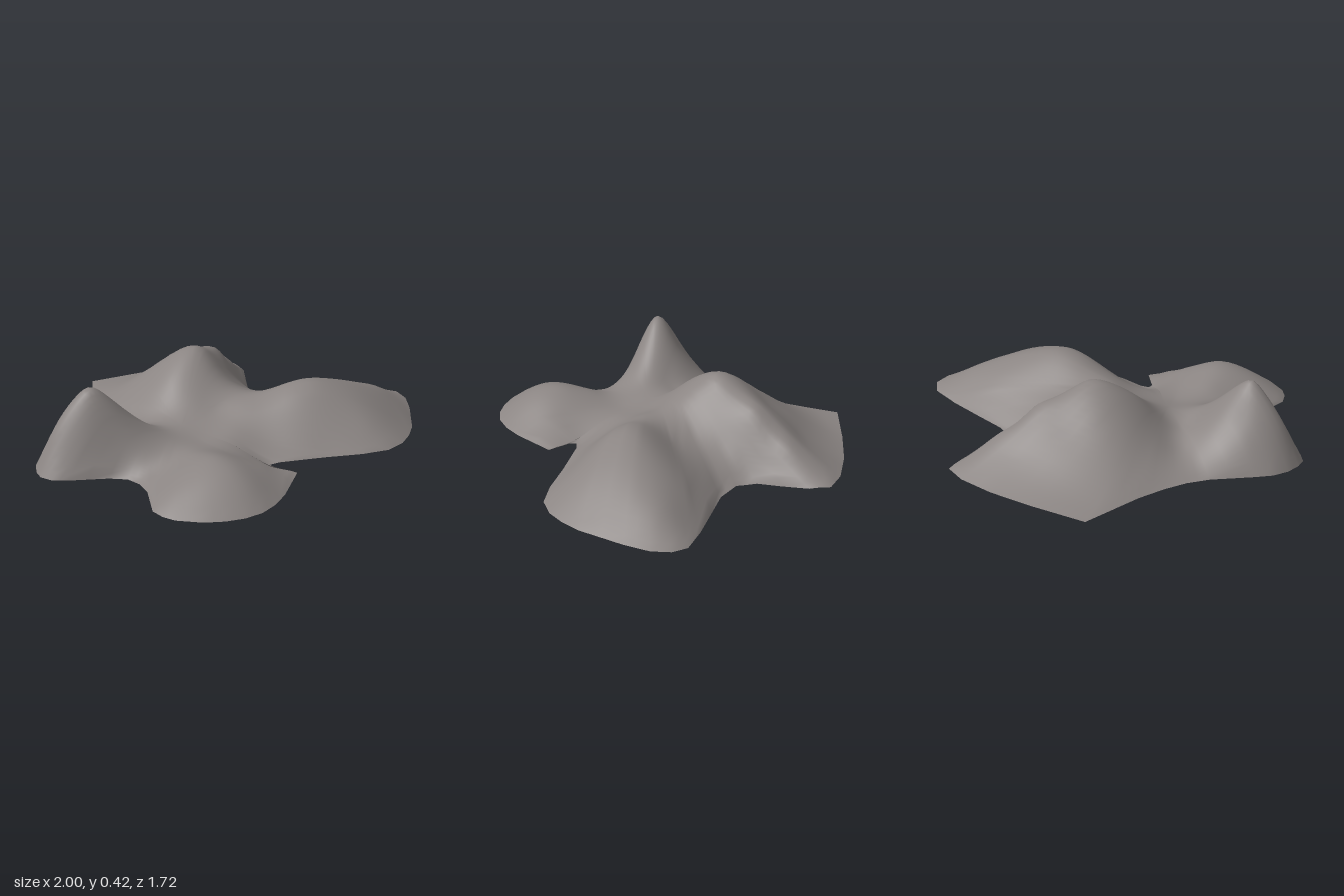
import * as THREE from 'three';

// Terrain border seen from above: x, z pairs
const BORDER = [
  -0.13, -0.86, 0.14, -0.79, 0.36, -0.72, 0.53, -0.64, 0.62, -0.56, 0.6, -0.46, 0.45, -0.25, 0.44, -0.15,
  0.53, -0.05, 0.84, 0.13, 0.97, 0.22, 1, 0.3, 0.97, 0.39, 0.89, 0.49, 0.72, 0.66, 0.63, 0.72,
  0.54, 0.76, 0.43, 0.77, 0.3, 0.72, 0.14, 0.63, -0.06, 0.53, -0.11, 0.52, -0.12, 0.55, -0.075, 0.665,
  -0.27, 0.79, -0.37, 0.835, -0.465, 0.855, -0.555, 0.845, -0.64, 0.81, -0.72, 0.755, -0.8, 0.66, -0.82, 0.6,
  -0.82, 0.53, -0.72, 0.365, -0.7, 0.285, -0.71, 0.21, -0.77, 0.145, -0.925, 0.04, -0.98, -0.01, -1, -0.07,
  -0.985, -0.125, -0.945, -0.19, -0.88, -0.245, -0.8, -0.28, -0.6, -0.355, -0.5, -0.415, -0.41, -0.495, -0.315, -0.6,
];

// Spot heights: x, z, y
const WEST_PEAK = [
  -0.73, -0.04, 0.42, -0.84, -0.08, 0.31, -0.9, -0.09, 0.22, -0.65, -0.02, 0.365, -0.53, 0.04, 0.24,
  -0.45, 0.08, 0.18, -0.68, 0.07, 0.28, -0.62, 0.15, 0.17, -0.7, -0.15, 0.27, -0.68, -0.25, 0.13,
];
const NORTH_RIDGE = [
  0.03, -0.16, 0.39, -0.1, -0.13, 0.35, -0.2, -0.1, 0.28, -0.3, -0.05, 0.18, 0.26, -0.29, 0.29,
  0.42, -0.4, 0.17, 0.54, -0.49, 0.08, 0.1, -0.4, 0.25, 0.1, -0.52, 0.17, 0.1, -0.63, 0.1,
  0.3, -0.52, 0.14, -0.05, -0.75, 0.05, -0.15, -0.45, 0.19, 0.12, -0.06, 0.26, 0.28, -0.15, 0.16,
];
const EAST_HILL = [
  0.31, 0.35, 0.295, 0.2, 0.31, 0.275, 0, 0.2, 0.21, -0.1, 0.13, 0.185, 0.6, 0.33, 0.21,
  0.8, 0.31, 0.13, 0.35, 0.5, 0.22, 0.4, 0.65, 0.12, 0.4, 0.2, 0.22, 0.58, 0.1, 0.11,
];
const SOUTH_MOUND = [
  -0.46, 0.53, 0.185, -0.46, 0.66, 0.165, -0.46, 0.76, 0.11, -0.6, 0.55, 0.155, -0.7, 0.55, 0.11,
  -0.3, 0.55, 0.13, -0.2, 0.58, 0.085, -0.46, 0.38, 0.15,
];
const VALLEYS = [
  -0.42, -0.05, 0.14, -0.44, -0.22, 0.1, 0.2, 0.05, 0.17, 0.35, -0.04, 0.085,
  -0.15, 0.3, 0.13, -0.1, 0.42, 0.075, -0.3, 0.25, 0.12, -0.5, 0.27, 0.12, -0.62, 0.3, 0.07,
];

// The border is level except for a dip on the east side
function borderHeight(x, z) {
  if (x < 0.42 || z < -0.5 || z > 0.3) return 0.035;
  const t = z < -0.15 ? (z + 0.15) / 0.35 : (z + 0.15) / 0.45;
  return 0.035 * Math.min(1, t * t * (1.6 - 0.6 * Math.abs(t)));
}

// Gaussian elimination with row pivoting
function solve(m) {
  const n = m.length;
  for (let c = 0; c < n; c++) {
    let p = c;
    for (let r = c + 1; r < n; r++) if (Math.abs(m[r][c]) > Math.abs(m[p][c])) p = r;
    [m[c], m[p]] = [m[p], m[c]];
    for (let r = 0; r < n; r++) {
      if (r === c) continue;
      const f = m[r][c] / m[c][c];
      if (f) for (let k = c; k <= n; k++) m[r][k] -= f * m[c][k];
    }
  }
  return m.map((row, i) => row[n] / row[i]);
}

// Smooth thin-plate surface through all known heights
function makeHeight(points) {
  const kernel = (a, b) => {
    const d = (a[0] - b[0]) ** 2 + (a[1] - b[1]) ** 2;
    return d < 1e-12 ? 0 : d * Math.log(d);
  };
  const rows = points.map((p) => [...points.map((q) => kernel(p, q)), 1, p[0], p[1], p[2]]);
  for (const f of [() => 1, (p) => p[0], (p) => p[1]]) rows.push([...points.map(f), 0, 0, 0, 0]);
  const w = solve(rows);
  const n = points.length;
  return (x, z) => {
    let y = w[n] + w[n + 1] * x + w[n + 2] * z;
    points.forEach((p, i) => { y += w[i] * kernel(p, [x, z]); });
    return Math.max(0, y);
  };
}

export function createModel() {
  const group = new THREE.Group();
  group.name = 'terrain';

  const border = [];
  for (let i = 0; i < BORDER.length; i += 2) border.push([BORDER[i], BORDER[i + 1]]);
  const known = border.map(([x, z]) => [x, z, borderHeight(x, z)]);
  for (const list of [WEST_PEAK, NORTH_RIDGE, EAST_HILL, SOUTH_MOUND, VALLEYS]) {
    for (let i = 0; i < list.length; i += 3) known.push(list.slice(i, i + 3));
  }
  const height = makeHeight(known);

  // Border with a midpoint on every edge
  const loop = border.flatMap((a, i) => {
    const b = border[(i + 1) % border.length];
    return [a, [(a[0] + b[0]) / 2, (a[1] + b[1]) / 2]];
  });

  // Rings spreading from a centre that sees the whole border
  const centre = [-0.3, 0.1], rings = 30, n = loop.length;
  const positions = [centre[0], height(...centre), centre[1]];
  const index = [];
  for (let r = 1; r <= rings; r++) {
    const t = r / rings;
    loop.forEach(([bx, bz], i) => {
      const x = centre[0] + (bx - centre[0]) * t;
      const z = centre[1] + (bz - centre[1]) * t;
      positions.push(x, r === rings ? borderHeight(x, z) : height(x, z), z);
      const j = (i + 1) % n, outer = 1 + (r - 1) * n, inner = outer - n;
      if (r === 1) index.push(0, outer + j, outer + i);
      else index.push(inner + i, outer + j, outer + i, inner + i, inner + j, outer + j);
    });
  }
  const geometry = new THREE.BufferGeometry();
  geometry.setAttribute('position', new THREE.Float32BufferAttribute(positions, 3));
  geometry.setIndex(index);
  geometry.computeVertexNormals();

  const rock = new THREE.MeshStandardMaterial({ color: 0x8b8583, side: THREE.DoubleSide });
  rock.name = 'grey rock';
  const hills = new THREE.Mesh(geometry, rock);
  hills.name = 'hills';
  group.add(hills);
  return group;
}
